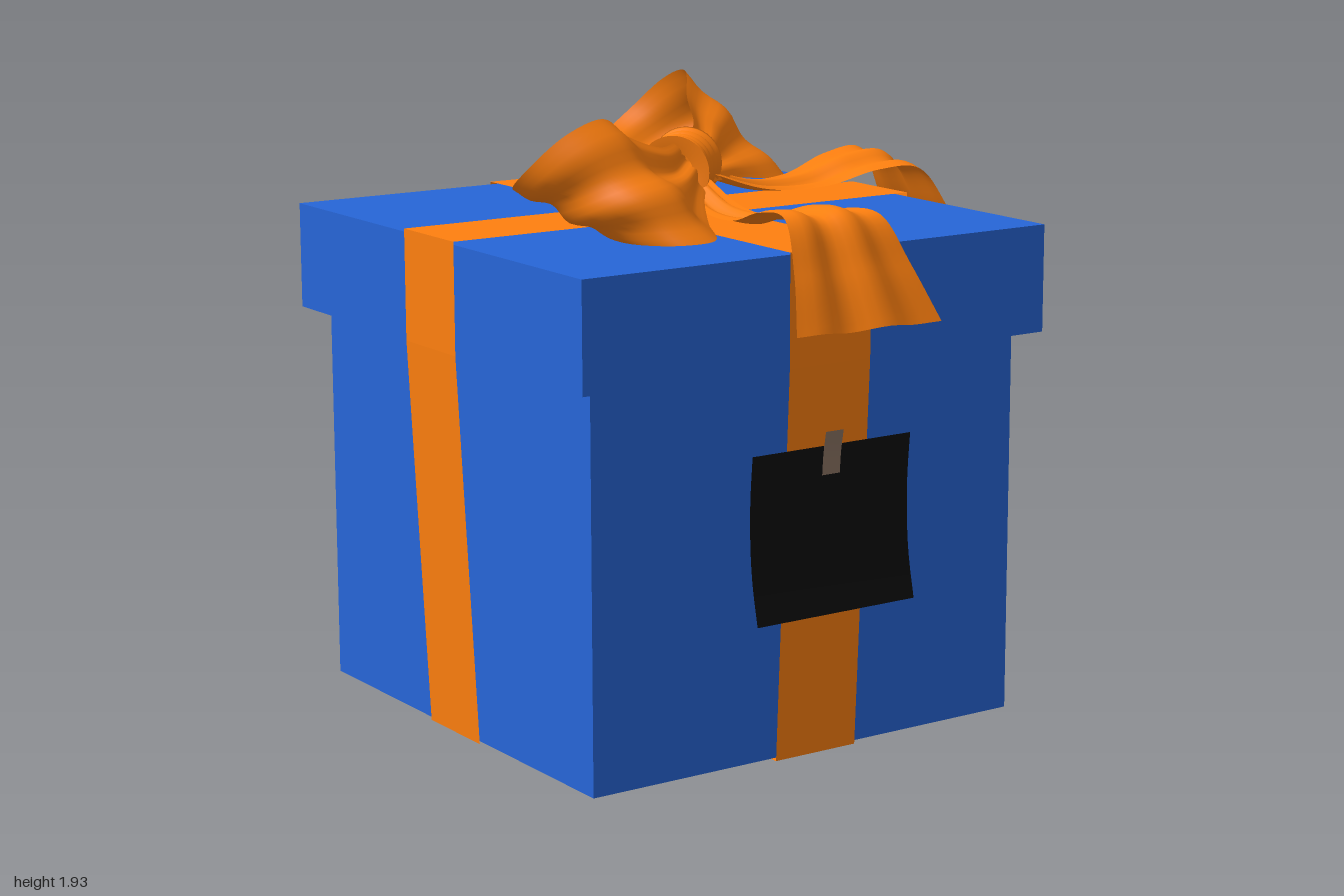
import * as THREE from 'three';

const BLUE = 0x2766d8, ORANGE = 0xff800f, BLACK = 0x0c0c0c, TAUPE = 0x8f7766;
const CX = -0.157, CZ = -0.104; // box centre

const material = (color, thin) =>
  new THREE.MeshStandardMaterial({ color, side: thin ? THREE.DoubleSide : THREE.FrontSide });

function addMesh(parent, name, geometry, color, thin = false) {
  const mesh = new THREE.Mesh(geometry, material(color, thin));
  mesh.name = name;
  parent.add(mesh);
  return mesh;
}

// Cloth stretched between two edge curves, with pleats running along it
function sheet(edgeA, edgeB, { rows = 48, cols = 16, pleats = 0, depth = 0 } = {}) {
  const curve = (pts) => new THREE.CatmullRomCurve3(pts.map((p) => new THREE.Vector3(...p)));
  const a = curve(edgeA), b = curve(edgeB);
  const geo = new THREE.PlaneGeometry(1, 1, cols, rows);
  const pos = geo.attributes.position;
  for (let i = 0; i <= rows; i++) {
    const pa = a.getPoint(i / rows), pb = b.getPoint(i / rows);
    for (let j = 0; j <= cols; j++) {
      const p = pa.clone().lerp(pb, j / cols);
      pos.setXYZ(i * (cols + 1) + j, p.x, p.y, p.z);
    }
  }
  geo.computeVertexNormals();
  const n = geo.attributes.normal.clone();
  for (let k = 0; k < pos.count; k++) {
    const s = (k % (cols + 1)) / cols;
    const w = depth * Math.sin(s * Math.PI) * Math.sin(s * pleats * Math.PI * 2);
    pos.setXYZ(k, pos.getX(k) + n.getX(k) * w, pos.getY(k) + n.getY(k) * w, pos.getZ(k) + n.getZ(k) * w);
  }
  geo.computeVertexNormals();
  return geo;
}

// Flat strip following a [distance, height] path, with crisp bends
function strip(path, width) {
  const pos = [], index = [];
  path.forEach(([d, y]) => pos.push(-width / 2, y, d, width / 2, y, d));
  for (let i = 0; i < path.length - 1; i++) {
    const k = i * 2;
    index.push(k, k + 2, k + 1, k + 1, k + 2, k + 3);
  }
  let geo = new THREE.BufferGeometry();
  geo.setAttribute('position', new THREE.Float32BufferAttribute(pos, 3));
  geo.setIndex(index);
  geo = geo.toNonIndexed();
  geo.computeVertexNormals();
  return geo;
}

export function createModel() {
  const model = new THREE.Group();
  model.name = 'giftBox';

  // Box and lid
  addMesh(model, 'boxBody', new THREE.BoxGeometry(1.545, 1.23, 1.545), BLUE).position.set(CX, 0.622, CZ);
  addMesh(model, 'lid', new THREE.BoxGeometry(1.68, 0.335, 1.68), BLUE).position.set(CX, 1.39, CZ);

  // Ribbons wrapped over the lid and slanting in to the base
  const half = [[0.847, 1.565], [0.847, 1.22], [0.785, 0.001]];
  const wrap = [...half.map(([d, y]) => [-d, y]).reverse(), ...half];
  const around = [...wrap, [-0.785, 0.001]];
  const lengthwise = addMesh(model, 'ribbonFrontToBack', strip(around, 0.295), ORANGE, true);
  lengthwise.position.set(-0.137, 0, CZ);
  const crosswise = addMesh(model, 'ribbonSideToSide', strip(wrap, 0.295), ORANGE, true);
  crosswise.rotation.y = Math.PI / 2;
  crosswise.position.set(CX, 0.004, -0.106);

  // Curved tag and its clip
  const tagPath = [[0.795, 0.47], [0.768, 0.6], [0.757, 0.72], [0.757, 0.85], [0.768, 0.98]];
  const side = (x, pts) => pts.map(([z, y]) => [x, y, z]);
  addMesh(model, 'tag', sheet(side(-0.435, tagPath), side(0.145, tagPath), { rows: 12, cols: 1 }), BLACK, true);
  const clipPath = [[0.764, 0.89], [0.77, 0.96], [0.782, 1.025]];
  addMesh(model, 'tagClip', sheet(side(-0.18, clipPath), side(-0.115, clipPath), { rows: 6, cols: 1 }), TAUPE, true);

  // Bow, set diagonally on the lid
  const bow = new THREE.Group();
  bow.name = 'bow';
  bow.position.set(-0.1, 0, -0.1);
  bow.rotation.y = Math.PI / 4;
  model.add(bow);

  // Upper and lower edges of one loop: out along the front, back behind
  const upper = [[0.03, 1.79, 0.0], [0.28, 1.8, -0.01], [0.48, 1.86, -0.07], [0.64, 1.93, -0.11], [0.73, 1.89, -0.2],
    [0.745, 1.79, -0.31], [0.67, 1.72, -0.375], [0.45, 1.7, -0.32], [0.2, 1.69, -0.2], [0.03, 1.68, -0.05]];
  const lower = [[0.03, 1.65, 0.09], [0.28, 1.63, 0.13], [0.48, 1.6, 0.18], [0.66, 1.58, 0.23], [0.73, 1.575, 0.14],
    [0.7, 1.57, 0.0], [0.6, 1.57, -0.1], [0.42, 1.575, -0.17], [0.2, 1.59, -0.16], [0.03, 1.63, -0.04]];
  for (const s of [1, -1]) {
    const flip = (pts) => pts.map(([u, y, n]) => [s * u, y, n]);
    addMesh(bow, s > 0 ? 'rightBowLoop' : 'leftBowLoop',
      sheet(flip(upper), flip(lower), { rows: 72, pleats: 2, depth: 0.014 }), ORANGE, true);
  }

  // Knot with gathered ridges
  const profile = [new THREE.Vector2(0.06, -0.1)];
  for (let i = 0; i <= 32; i++) {
    const t = i / 32;
    profile.push(new THREE.Vector2(0.107 + 0.006 * Math.cos(t * Math.PI * 8) - 0.008 * Math.sin(t * Math.PI), -0.11 + 0.22 * t));
  }
  profile.push(new THREE.Vector2(0.06, 0.1));
  const knot = addMesh(bow, 'bowKnot', new THREE.LatheGeometry(profile, 40), ORANGE, true);
  knot.rotation.z = Math.PI / 2;
  knot.position.y = 1.7;

  // Two tails draping over the lid edges, mirrored across the diagonal
  const outerEdge = [[-0.16, 1.68, -0.06], [-0.22, 1.61, 0.2], [-0.25, 1.61, 0.4], [-0.28, 1.66, 0.58],
    [-0.31, 1.665, 0.75], [-0.355, 1.52, 0.86], [-0.41, 1.36, 0.95]];
  const innerEdge = [[-0.04, 1.68, -0.06], [-0.05, 1.6, 0.2], [-0.01, 1.6, 0.4], [0.04, 1.645, 0.57],
    [0.07, 1.64, 0.71], [0.115, 1.5, 0.8], [0.17, 1.335, 0.88]];
  const tailShape = { rows: 48, pleats: 2, depth: 0.016 };
  addMesh(model, 'frontBowTail', sheet(outerEdge, innerEdge, tailShape), ORANGE, true);
  const swap = (pts) => pts.map(([x, y, z]) => [z + 0.045, y, x - 0.045]);
  addMesh(model, 'sideBowTail', sheet(swap(outerEdge), swap(innerEdge), tailShape), ORANGE, true);

  return model;
}
